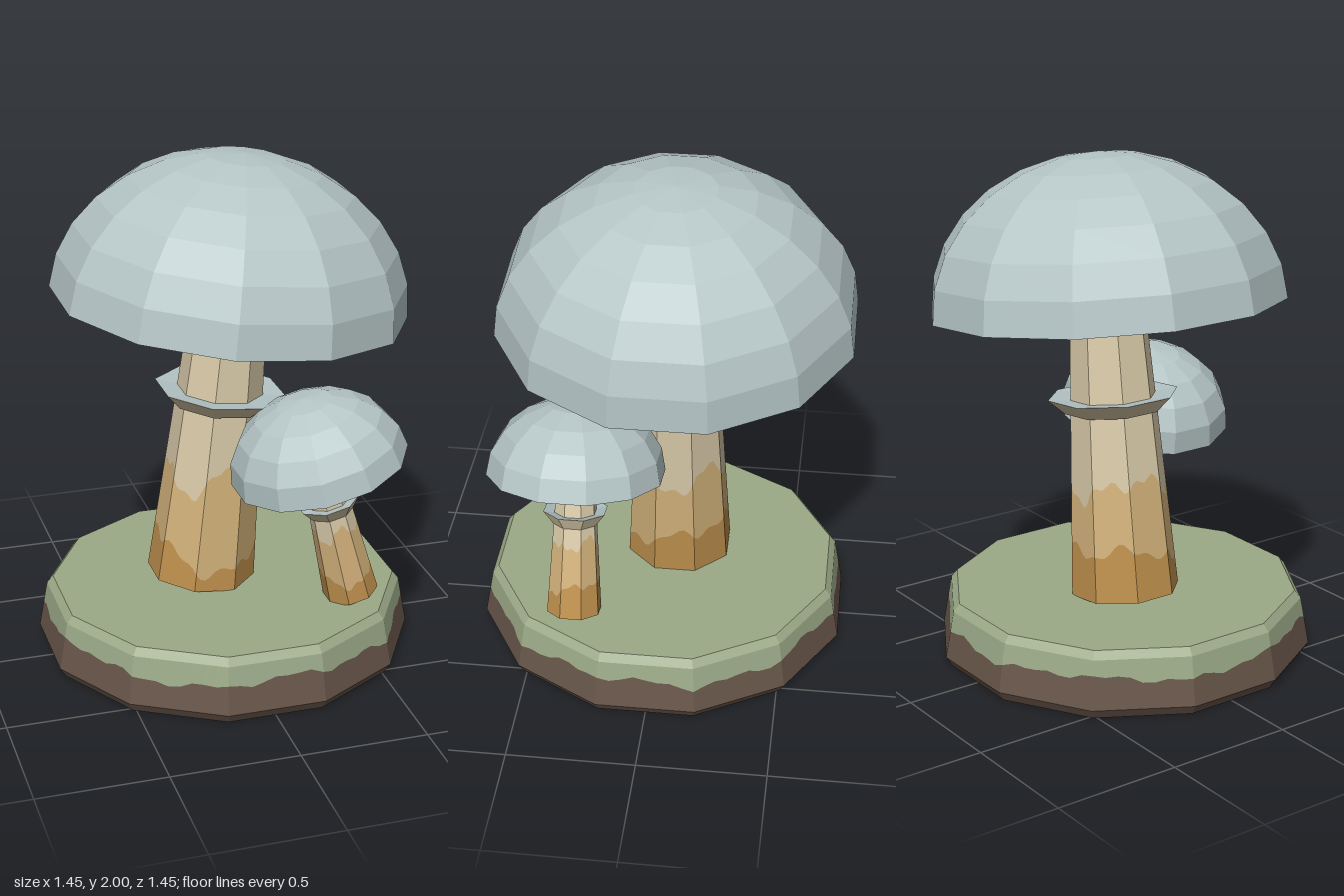
import * as THREE from 'three';

const paint = (name, color, side = THREE.FrontSide) =>
  Object.assign(new THREE.MeshStandardMaterial({ color, side }), { name });

export function createModel() {
  const blueGrey = paint('blue grey', 0xb5c5c6);
  const cream = paint('cream', 0xd8c9a8);
  const tan = paint('tan', 0xd2b17a);
  const ochre = paint('ochre', 0xbd8f4c);
  const moss = paint('moss green', 0x9caa88, THREE.DoubleSide);
  const soil = paint('soil brown', 0x68564a, THREE.DoubleSide);

  function add(parent, name, geometry, material) {
    const flat = geometry.index ? geometry.toNonIndexed() : geometry;
    flat.computeVertexNormals();
    const mesh = new THREE.Mesh(flat, material);
    mesh.name = name;
    parent.add(mesh);
    return mesh;
  }

  // Faceted turned shape with a flat side facing each axis
  function turned(points, sides) {
    const profile = points.map(([r, y]) => new THREE.Vector2(r, y));
    return new THREE.LatheGeometry(profile, sides, Math.PI / sides);
  }

  // Part of a tapered prism wall between two wavy heights, given as functions of angle
  function wall(sides, radiusAt, low, high, steps = 8) {
    const pos = [];
    const corner = i => ((i + 0.5) / sides) * Math.PI * 2;
    const point = (i, t, height) => {
      const a = corner(i), b = corner(i + 1);
      const y = height(a + (b - a) * t), r = radiusAt(y);
      return [
        r * (Math.sin(a) * (1 - t) + Math.sin(b) * t), y,
        r * (Math.cos(a) * (1 - t) + Math.cos(b) * t)];
    };
    for (let i = 0; i < sides; i++) {
      for (let k = 0; k < steps; k++) {
        const t = k / steps, u = (k + 1) / steps;
        const A = point(i, t, low), B = point(i, u, low);
        const C = point(i, u, high), D = point(i, t, high);
        pos.push(...A, ...B, ...C, ...A, ...C, ...D);
      }
    }
    const g = new THREE.BufferGeometry();
    g.setAttribute('position', new THREE.Float32BufferAttribute(pos, 3));
    return g;
  }

  const level = y => () => y;
  const lerp = THREE.MathUtils.lerp;

  // Hollow ground disc, open below
  function ground() {
    const g = new THREE.Group();
    g.name = 'ground';
    const radiusAt = y => lerp(0.75, 0.715, (y - 0.04) / 0.19);
    const edge = a => 0.152 + 0.011 * Math.sin(5 * a + 1) + 0.009 * Math.sin(13 * a)
      + 0.007 * Math.sin(29 * a + 2);
    add(g, 'soilRim', turned([[0.69, 0], [0.725, 0], [0.75, 0.04]], 12), soil);
    add(g, 'soilWall', wall(12, radiusAt, level(0.04), edge), soil);
    add(g, 'mossWall', wall(12, radiusAt, edge, level(0.23)), moss);
    add(g, 'mossTop', turned([[0.715, 0.23], [0.69, 0.26], [0, 0.26]], 12), moss);
    return g;
  }

  // Leaning mushroom: banded stem, flared collar, domed cap
  function mushroom(name, o) {
    const g = new THREE.Group();
    g.name = name;
    g.position.set(...o.at);
    g.rotation.z = THREE.MathUtils.degToRad(o.lean);
    const h = o.height;
    const radiusAt = y => lerp(o.foot, o.neck, y / h);

    // Stem colours rise in uneven bands
    const ochreTop = a => h * (o.ochre - 0.05 * Math.cos(a) - 0.025 * Math.cos(2 * a)
      + 0.018 * Math.sin(5 * a) + 0.012 * Math.sin(11 * a + 1));
    const tanTop = a => h * (o.tan + 0.035 * Math.sin(3 * a + 1)
      + 0.03 * Math.sin(5 * a + 2) + 0.015 * Math.sin(13 * a));
    const creamTop = a => h * (o.cream + 0.025 * Math.sin(3 * a) + 0.01 * Math.sin(8 * a));
    const bands = [
      ['stemFoot', ochre, level(0), ochreTop],
      ['stemLower', tan, ochreTop, tanTop],
      ['stemUpper', cream, tanTop, creamTop],
      ['stemNeck', blueGrey, creamTop, level(h)],
    ];
    for (const [part, mat, low, high] of bands) add(g, part, wall(8, radiusAt, low, high), mat);
    add(g, 'stemEnd', turned([[0, 0], [o.foot, 0]], 8), ochre);

    // Collar
    const [r0, r1, y0, y1] = o.collar;
    add(g, 'collarSide', turned([[radiusAt(y0) * 0.9, y0], [r0, y0], [r1, y1]], 8), cream);
    add(g, 'collarTop', turned([[r1, y1], [radiusAt(y1) * 0.9, y1 - 0.01]], 8), blueGrey);

    // Cap with a flat underside
    const profile = [[0, h]];
    for (let i = 0; i <= o.rings; i++) {
      const t = (i / o.rings) * Math.PI / 2;
      profile.push([i === o.rings ? 0 : o.cap * Math.cos(t), h + o.dome * Math.sin(t)]);
    }
    add(g, 'cap', turned(profile, 12), blueGrey);
    return g;
  }

  const model = new THREE.Group();
  model.name = 'mushrooms';
  model.add(
    ground(),
    mushroom('largeMushroom', {
      at: [-0.08, 0.265, -0.05], lean: -6, height: 1.151, foot: 0.217, neck: 0.149,
      ochre: 0.14, tan: 0.39, cream: 0.95, collar: [0.195, 0.26, 0.735, 0.795],
      cap: 0.7, dome: 0.592, rings: 7,
    }),
    mushroom('smallMushroom', {
      at: [0.435, 0.275, 0.315], lean: 14, height: 0.582, foot: 0.11, neck: 0.074,
      ochre: 0.2, tan: 0.52, cream: 0.85, collar: [0.09, 0.129, 0.375, 0.428],
      cap: 0.349, dome: 0.292, rings: 5,
    }),
  );
  return model;
}
